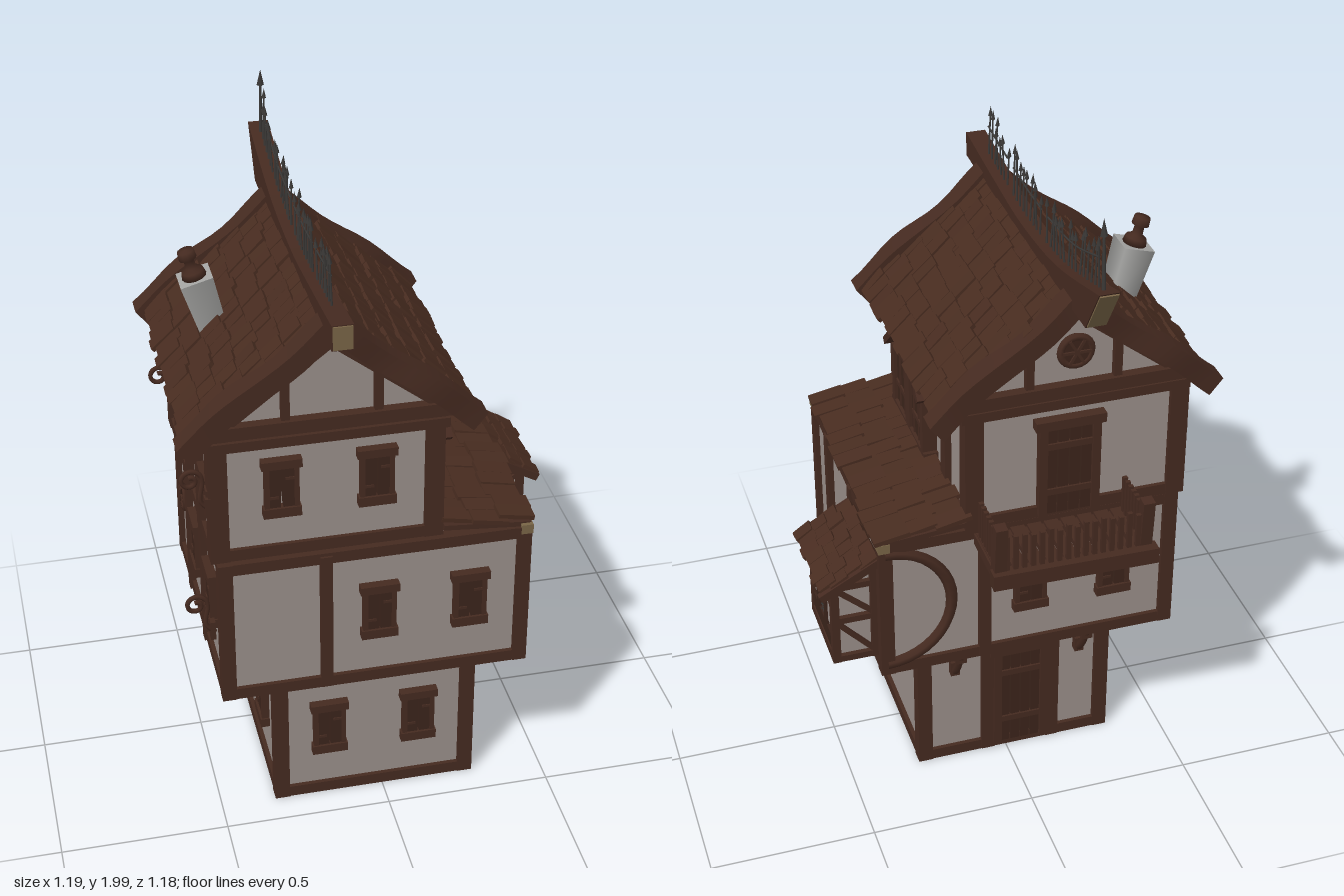
import * as THREE from 'three';
import { mergeGeometries } from 'three/addons/utils/BufferGeometryUtils.js';

const mat = (name, color, extra = {}) => Object.assign(new THREE.MeshStandardMaterial({ color, ...extra }), { name });

export function createModel() {
  const wood = mat('dark timber', 0x452a20);
  const tile = mat('roof shingle', 0x482c20);
  const plank = mat('shutter wood', 0x3b241b);
  const plaster = mat('plaster', 0x998e89);
  const iron = mat('iron', 0x3b3937);
  const stone = mat('chimney stone', 0xa3a3a1);
  const endGrain = mat('end grain', 0x786446);
  const root = new THREE.Group();
  root.name = 'timberHouse';

  let seed = 7;
  const rnd = () => (seed = (seed * 16807) % 2147483647) / 2147483647;
  const jit = a => (rnd() - 0.5) * 2 * a;

  const add = (parent, name, geo, m, x = 0, y = 0, z = 0) => {
    const o = new THREE.Mesh(geo, m);
    o.name = name;
    o.position.set(x, y, z);
    parent.add(o);
    return o;
  };
  const box = (p, name, m, w, h, d, x, y, z) => add(p, name, new THREE.BoxGeometry(w, h, d), m, x, y, z);
  const group = (name, parent = root) => {
    const g = new THREE.Group();
    g.name = name;
    parent.add(g);
    return g;
  };
  // Bar between two points in the local xy plane
  const bar = (p, name, m, a, b, t, d, z = 0) => {
    const o = box(p, name, m, Math.hypot(b[0] - a[0], b[1] - a[1]), t, d, (a[0] + b[0]) / 2, (a[1] + b[1]) / 2, z);
    o.rotation.z = Math.atan2(b[1] - a[1], b[0] - a[0]);
    return o;
  };
  // Group lying on a wall: u is world x or z, off is the wall plane
  const on = (side, name, u, v, off) => {
    const g = group(name);
    if (side === 'front' || side === 'back') g.position.set(u, v, off);
    else g.position.set(off, v, u);
    g.rotation.y = { front: 0, back: Math.PI, left: Math.PI / 2, right: -Math.PI / 2 }[side];
    return g;
  };
  const post = (side, u, v, w, h, off) => box(on(side, 'wallTimber', u, v, off), 'timber', wood, w, h, 0.03, 0, 0, 0);

  // Storeys: plaster core with corner posts and sill beams
  const storey = (name, x0, x1, y0, y1, z0, z1, t) => {
    const g = group(name), h = y1 - y0, cx = (x0 + x1) / 2, cy = (y0 + y1) / 2, cz = (z0 + z1) / 2;
    box(g, 'wall', plaster, x1 - x0 - 0.03, h - 0.01, z1 - z0 - 0.03, cx, cy, cz);
    for (const x of [x0 + t / 2, x1 - t / 2]) {
      for (const z of [z0 + t / 2, z1 - t / 2]) box(g, 'cornerPost', wood, t, h, t, x, cy, z);
      for (const y of [y0 + 0.018, y1 - 0.018]) box(g, 'sideBeam', wood, t * 0.9, 0.036, z1 - z0 - 0.01, x, y, cz);
    }
    for (const z of [z0 + t / 2, z1 - t / 2])
      for (const y of [y0 + 0.018, y1 - 0.018]) box(g, 'crossBeam', wood, x1 - x0 - 0.01, 0.036, t * 0.9, cx, y, z);
    box(g, 'floor', wood, x1 - x0 - 0.01, 0.02, z1 - z0 - 0.01, cx, y0 + 0.01, cz);
  };
  storey('groundStorey', -0.335, 0.285, 0.01, 0.48, -0.24, 0.41, 0.045);
  storey('middleStorey', -0.495, 0.42, 0.475, 0.95, -0.34, 0.48, 0.042);
  storey('upperStorey', -0.51, 0.16, 0.95, 1.36, -0.34, 0.46, 0.055);

  // Extra posts and rails on the walls
  [['front', -0.185, 0.71, 0.035, 0.46, 0.47], ['front', -0.17, 1.33, 0.68, 0.03, 0.455],
    ['left', 0.275, 0.71, 0.035, 0.46, 0.41], ['left', -0.01, 0.71, 0.03, 0.46, 0.41], ['left', -0.13, 1.16, 0.045, 0.42, 0.15],
    ['back', 0.1, 0.71, 0.035, 0.46, -0.33], ['back', 0.06, 0.24, 0.04, 0.45, -0.23], ['back', -0.15, 0.24, 0.04, 0.45, -0.23],
    ['back', -0.17, 1.33, 0.68, 0.03, -0.33],
    ['right', -0.1, 0.71, 0.035, 0.46, -0.485], ['right', 0.17, 0.71, 0.035, 0.46, -0.485],
    ['right', 0.06, 1.17, 0.78, 0.035, -0.5], ['right', -0.13, 1.16, 0.04, 0.4, -0.5],
    ['right', 0.07, 1.16, 0.04, 0.4, -0.5], ['right', 0.27, 1.16, 0.04, 0.4, -0.5]].forEach(a => post(...a));

  // Shuttered windows
  const shutterWindow = (side, u, v, off) => {
    const g = on(side, 'shutterWindow', u, v, off);
    for (const s of [-1, 1]) {
      box(g, 'shutter', plank, 0.042, 0.15, 0.03, s * 0.023, 0, 0).rotation.z = jit(0.03);
      box(g, 'jamb', wood, 0.014, 0.15, 0.036, s * 0.042, 0, 0);
      box(g, 'hinge', wood, 0.03, 0.008, 0.036, s * 0.025, s * 0.03, 0);
    }
    box(g, 'lintel', wood, 0.115, 0.026, 0.045, 0, 0.078, 0);
    box(g, 'sill', wood, 0.108, 0.03, 0.045, 0, -0.078, 0);
  };
  [['front', -0.305, 1.18, 0.45], ['front', -0.035, 1.18, 0.45], ['front', -0.03, 0.73, 0.47], ['front', 0.24, 0.73, 0.47],
    ['front', -0.165, 0.265, 0.4], ['front', 0.11, 0.265, 0.4], ['back', -0.04, 0.72, -0.33], ['back', -0.3, 0.72, -0.33],
    ['right', 0.04, 0.74, -0.485], ['right', 0.3, 0.74, -0.485], ['right', -0.05, 0.26, -0.325], ['right', 0.2, 0.26, -0.325]]
    .forEach(a => shutterWindow(...a));

  // Round windows
  for (const [side, u, v, off] of [['back', -0.16, 1.5, -0.345], ['right', -0.2, 0.76, -0.49]]) {
    const g = on(side, 'roundWindow', u, v, off);
    add(g, 'ring', new THREE.TorusGeometry(0.045, 0.012, 6, 20), wood);
    add(g, 'pane', new THREE.CylinderGeometry(0.042, 0.042, 0.016, 20), plank).rotation.x = Math.PI / 2;
    for (let i = 0; i < 3; i++) box(g, 'spoke', wood, 0.085, 0.008, 0.026, 0, 0, 0).rotation.z = i * Math.PI / 3;
  }

  // Plank doors at the back
  const door = (name, u, v, w, h, off) => {
    const g = on('back', name, u, v, off);
    for (let i = 0; i < 4; i++) box(g, 'plank', plank, w / 4 - 0.004, h, 0.02, (i - 1.5) * w / 4, h / 2, 0);
    for (const s of [-1, 1]) box(g, 'jamb', wood, 0.025, h, 0.04, s * (w / 2 + 0.01), h / 2, 0);
    for (const k of [0.25, 0.75]) box(g, 'brace', wood, w, 0.02, 0.032, 0, h * k, 0);
    box(g, 'lintel', wood, w + 0.07, 0.03, 0.05, 0, h, 0);
  };
  door('groundDoor', -0.045, 0.03, 0.13, 0.37, -0.232);
  door('balconyDoor', -0.15, 0.96, 0.14, 0.31, -0.332);

  // Curved brace on the back wall
  add(on('back', 'curvedBrace', 0.4, 0.71, -0.33), 'arc', new THREE.TorusGeometry(0.2, 0.018, 6, 20, Math.PI), wood).rotation.z = -Math.PI / 2;

  // Pointed loft doors
  const loft = on('left', 'loftDoors', 0.165, 1.0, 0.155);
  const arch = new THREE.Shape();
  arch.moveTo(-0.15, 0);
  arch.lineTo(-0.15, 0.16);
  arch.quadraticCurveTo(-0.12, 0.28, 0, 0.36);
  arch.quadraticCurveTo(0.12, 0.28, 0.15, 0.16);
  arch.lineTo(0.15, 0);
  add(loft, 'doorLeaf', new THREE.ExtrudeGeometry(arch, { depth: 0.025, bevelEnabled: false }), plank);
  for (const s of [-1, 1]) {
    bar(loft, 'hood', wood, [s * 0.185, 0.2], [0, 0.37], 0.022, 0.07, 0.02);
    box(loft, 'frame', wood, 0.025, 0.2, 0.05, s * 0.155, 0.1, 0.01);
    for (const y of [0.08, 0.2]) box(loft, 'hinge', wood, 0.1, 0.015, 0.02, s * 0.09, y, 0.02);
    for (const x of [0.05, 0.1]) box(loft, 'seam', wood, 0.006, 0.24, 0.008, s * x, 0.13, 0.025);
  }
  box(loft, 'centrePost', wood, 0.045, 0.33, 0.045, 0, 0.165, 0.012);
  box(loft, 'threshold', wood, 0.36, 0.02, 0.05, 0, 0, 0.01);

  // Brackets under the overhang
  for (const [side, u, off, reach] of [['left', 0.29, 0.285, 0.1], ['left', 0.11, 0.285, 0.1], ['left', -0.11, 0.285, 0.1],
    ['right', 0.29, -0.335, 0.1], ['right', 0.07, -0.335, 0.1], ['right', -0.15, -0.335, 0.1],
    ['back', 0.17, -0.24, 0.08], ['back', -0.23, -0.24, 0.08]]) {
    const curve = new THREE.QuadraticBezierCurve3(new THREE.Vector3(0, -0.12, 0.005),
      new THREE.Vector3(0, -0.08, reach * 0.6), new THREE.Vector3(0, 0, reach));
    const g = on(side, 'bracket', u, 0.475, off);
    add(g, 'brace', new THREE.TubeGeometry(curve, 8, 0.012, 6), wood);
    box(g, 'foot', wood, 0.028, 0.05, 0.025, 0, -0.1, 0.008);
    box(g, 'head', wood, 0.035, 0.03, 0.04, 0, -0.012, reach - 0.015);
  }

  // Shingles laid downslope along local +x, spread along z
  const shingles = (parent, length, width, rows, cols) => {
    const list = [], l = length / rows, w = width / cols;
    for (let r = 0; r < rows; r++)
      for (let c = 0; c < cols; c++) {
        const b = new THREE.BoxGeometry(l * 1.25, 0.014, w * 0.97);
        b.rotateZ(-0.1 + jit(0.04)).rotateX(jit(0.05));
        b.translate((r + 0.5) * l + jit(0.009), 0.012 + jit(0.004), (c + 0.5) * w - width / 2 + (r % 2 ? w * 0.12 : -w * 0.12));
        list.push(b);
      }
    add(parent, 'shingles', mergeGeometries(list), tile);
    box(parent, 'roofDeck', wood, length, 0.016, width, length / 2, -0.004, 0);
  };

  // Main roof with gables and wavy bargeboards
  const roof = group('mainRoof');
  const gable = new THREE.Shape([[-0.49, 1.35], [0.17, 1.35], [-0.16, 1.635]].map(p => new THREE.Vector2(...p)));
  add(roof, 'gableWall', new THREE.ExtrudeGeometry(gable, { depth: 0.76, bevelEnabled: false }), plaster, 0, 0, -0.32);
  for (const flip of [0, 1]) {
    const slope = group('roofSlope', roof);
    slope.position.set(-0.16, 1.665, 0.05);
    slope.rotation.set(0, flip * Math.PI, -0.675);
    shingles(slope, 0.51, 0.79, 7, 15);
    for (const z of [-0.4, 0.4]) {
      const b = new THREE.BoxGeometry(0.54, 0.06, 0.065, 12, 1, 2), p = b.attributes.position;
      for (let i = 0; i < p.count; i++) {
        const x = p.getX(i);
        p.setY(i, p.getY(i) * (1 + 0.2 * Math.max(0, x)) + 0.006 * Math.sin(x * 17));
        p.setZ(i, p.getZ(i) * (1.05 + 0.12 * Math.sin(x * 23)) + 0.005 * Math.sin(x * 14));
      }
      b.computeVertexNormals();
      add(slope, 'bargeboard', b, wood, 0.265, 0, z);
    }
  }
  for (const z of [-0.325, 0.445]) {
    box(roof, 'tieBeam', wood, 0.7, 0.04, 0.05, -0.16, 1.372, z);
    for (const x of [-0.29, -0.03]) box(roof, 'gablePost', wood, 0.024, 0.17, 0.03, x, 1.45, z);
    for (const s of [-1, 1]) bar(roof, 'gableBrace', wood, [-0.16 + s * 0.31, 1.38], [-0.16, 1.62], 0.03, 0.03, z);
  }

  // Sagging ridge beam
  const V2 = (z, y) => new THREE.Vector2(z, y);
  const ridge = new THREE.SplineCurve([V2(0.59, 1.74), V2(0.3, 1.712), V2(0.05, 1.697), V2(-0.25, 1.722), V2(-0.585, 1.81)]);
  const beam = new THREE.Shape([...ridge.getPoints(24), V2(-0.49, 1.66), V2(0, 1.645), V2(0.59, 1.665)]);
  add(roof, 'ridgeBeam', new THREE.ExtrudeGeometry(beam, { depth: 0.06, bevelEnabled: false }).rotateY(-Math.PI / 2), wood, -0.13, 0, 0);
  box(roof, 'ridgeEnd', endGrain, 0.054, 0.068, 0.006, -0.16, 1.703, 0.592);
  box(roof, 'ridgeEnd', endGrain, 0.054, 0.165, 0.006, -0.16, 1.735, -0.539).rotation.x = -0.565;

  // Iron cresting along the ridge
  const cresting = group('ironCresting');
  const ridgeY = z => ridge.getPoint((0.59 - z) / 1.175).y;
  for (let i = 0; i < 33; i++) {
    if (i === 7 || i === 17) continue;
    const z = 0.455 - i * 0.03, h = 0.12 + jit(0.018);
    const spike = group('spike', cresting);
    spike.position.set(-0.16, ridgeY(z) - 0.005, z);
    spike.rotation.set(jit(0.08), 0, jit(0.06));
    add(spike, 'rod', new THREE.CylinderGeometry(0.0025, 0.0035, h, 5), iron, 0, h / 2, 0);
    add(spike, 'tip', new THREE.ConeGeometry(0.007, 0.03, 4), iron, 0, h + 0.012, 0);
  }
  for (const [a, b] of [[0.46, 0.27], [0.22, -0.04], [-0.09, -0.51]]) {
    const pts = [0, 0.5, 1].map(t => a + (b - a) * t).map(z => new THREE.Vector3(-0.16, ridgeY(z) + 0.085, z));
    add(cresting, 'wire', new THREE.TubeGeometry(new THREE.CatmullRomCurve3(pts), 10, 0.003, 5), iron);
  }
  const finial = group('finial', cresting);
  finial.position.set(-0.16, 1.78, -0.54);
  finial.rotation.x = 0.08;
  add(finial, 'rod', new THREE.CylinderGeometry(0.004, 0.006, 0.18, 6), iron, 0, 0.09, 0);
  add(finial, 'tip', new THREE.ConeGeometry(0.011, 0.05, 4), iron, 0, 0.195, 0);

  // Chimney
  const chimney = group('chimney');
  chimney.position.set(-0.41, 1.45, -0.005);
  chimney.rotation.z = 0.27;
  add(chimney, 'stack', new THREE.CylinderGeometry(0.068, 0.056, 0.17, 4, 1).rotateY(Math.PI / 4).toNonIndexed(), stone, 0, 0.085, 0);
  add(chimney, 'pot', new THREE.LatheGeometry([[0, 0.16], [0.036, 0.17], [0.032, 0.19], [0.016, 0.2], [0.014, 0.225], [0.026, 0.23], [0.024, 0.255], [0, 0.258]].map(p => V2(...p)), 12), wood);

  // Lean-to roof over the wider middle storey
  const lean = group('leanRoof');
  lean.position.set(0.16, 0.982, 0.06);
  lean.rotation.z = -0.09;
  shingles(lean, 0.26, 0.82, 3, 14);
  for (const z of [-0.335, 0.465]) box(root, 'beamEnd', endGrain, 0.035, 0.03, 0.035, 0.405, 0.945, z);

  // Bay window
  const bay = group('bayWindow');
  box(bay, 'wall', plaster, 0.13, 0.3, 0.24, 0.48, 0.68, -0.17);
  box(bay, 'floor', wood, 0.14, 0.02, 0.26, 0.485, 0.535, -0.17);
  for (const z of [-0.295, -0.045]) {
    box(bay, 'post', wood, 0.024, 0.28, 0.024, 0.545, 0.67, z);
    box(bay, 'wallPost', wood, 0.02, 0.34, 0.024, 0.428, 0.7, z);
    for (const y of [0.54, 0.68, 0.8]) box(bay, 'rail', wood, 0.13, 0.02, 0.02, 0.485, y, z);
    bar(bay, 'brace', wood, [0.43, 0.69], [0.54, 0.79], 0.014, 0.016, z);
    bar(bay, 'brace', wood, [0.43, 0.55], [0.54, 0.67], 0.014, 0.016, z);
  }
  for (const y of [0.545, 0.8]) box(bay, 'frontRail', wood, 0.024, 0.03, 0.26, 0.545, y, -0.17);
  box(bay, 'apron', plank, 0.02, 0.06, 0.24, 0.543, 0.58, -0.17);
  const lattice = on('left', 'bayLattice', -0.17, 0.67, 0.548);
  for (const x of [-0.09, 0.09]) box(lattice, 'sidePanel', plaster, 0.05, 0.1, 0.008, x, 0.02, 0);
  for (const s of [-1, 1]) box(lattice, 'shutter', plank, 0.03, 0.1, 0.016, s * 0.045, 0, 0);
  for (let i = -2; i <= 2; i++)
    for (const s of [-1, 1]) bar(lattice, 'lead', iron, [-0.025, i * 0.018 - s * 0.02], [0.025, i * 0.018 + s * 0.02], 0.004, 0.008);
  box(lattice, 'header', wood, 0.24, 0.014, 0.016, 0, 0.065, 0);
  const bayRoof = group('bayRoof');
  bayRoof.position.set(0.415, 0.885, -0.165);
  bayRoof.rotation.z = -0.5;
  shingles(bayRoof, 0.19, 0.31, 4, 7);
  for (const z of [-0.155, 0.155]) box(bayRoof, 'verge', wood, 0.2, 0.024, 0.02, 0.1, 0, z);

  // Balcony
  const balcony = group('balcony');
  for (let i = 0; i < 9; i++) box(balcony, 'deckPlank', wood, 0.042, 0.018, 0.2, -0.3 + i * 0.051, 0.93, -0.445);
  box(balcony, 'edgeBeam', wood, 0.49, 0.05, 0.04, -0.1, 0.918, -0.55).rotation.y = -0.02;
  box(balcony, 'innerBeam', wood, 0.46, 0.04, 0.03, -0.1, 0.91, -0.36);
  for (const x of [-0.315, 0.12]) {
    box(balcony, 'sideBeam', wood, 0.03, 0.035, 0.22, x, 0.918, -0.45);
    box(balcony, 'cornerPost', wood, 0.035, 0.17, 0.035, x, 1.01, -0.535).rotation.x = -0.08;
    for (let i = 0; i < 7; i++) box(balcony, 'picket', wood, 0.014, 0.125, 0.012, x, 0.995, -0.365 - i * 0.023);
  }
  for (let i = 0; i < 16; i++) box(balcony, 'picket', wood, 0.014, 0.12 + jit(0.015), 0.012, -0.29 + i * 0.026, 0.995, -0.54);

  // Scrolled iron hooks
  for (const [y, z] of [[1.13, 0.45], [0.71, 0.45], [1.13, -0.13]]) {
    const pts = [new THREE.Vector3(-0.505, 0, 0), new THREE.Vector3(-0.53, 0.03, 0)];
    for (let i = 0; i <= 14; i++) {
      const a = -0.2 + i * 0.6, r = 0.034 - i * 0.0018;
      pts.push(new THREE.Vector3(-0.557 + r * Math.cos(a), 0.1 + r * Math.sin(a), 0));
    }
    const hook = group('scrollHook');
    hook.position.set(0, y, z);
    add(hook, 'scroll', new THREE.TubeGeometry(new THREE.CatmullRomCurve3(pts), 60, 0.007, 6), wood);
    box(hook, 'plate', wood, 0.015, 0.06, 0.025, -0.512, 0.01, 0);
  }
  return root;
}
